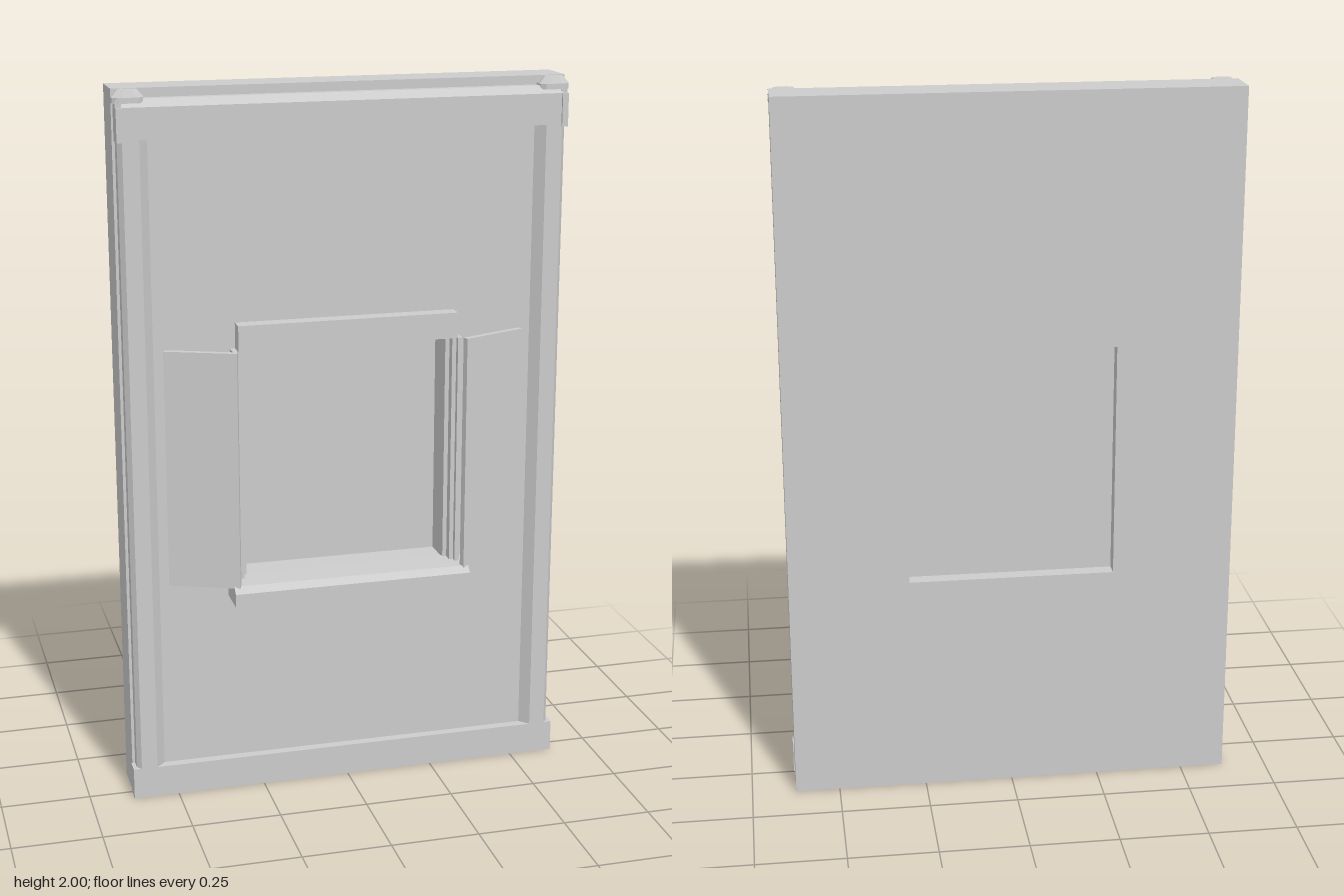
import * as THREE from 'three';

const plaster = new THREE.MeshStandardMaterial({ color: 0xcccccc });
plaster.name = 'plainGrey';

export function createModel() {
  const model = new THREE.Group();
  model.name = 'windowWallPanel';

  const add = (name, geometry) => {
    const mesh = new THREE.Mesh(geometry, plaster);
    mesh.name = name;
    model.add(mesh);
    return mesh;
  };
  // Box given by its limits on each axis
  const box = (name, x0, x1, y0, y1, z0, z1) => {
    const g = new THREE.BoxGeometry(x1 - x0, y1 - y0, z1 - z0);
    g.translate((x0 + x1) / 2, (y0 + y1) / 2, (z0 + z1) / 2);
    return add(name, g);
  };
  const shapeOf = (pts) => new THREE.Shape(pts.map(([a, b]) => new THREE.Vector2(a, b)));
  const extrude = (shape, depth) => new THREE.ExtrudeGeometry(shape, { depth, bevelEnabled: false });
  // Profile of [z, y] points run along x
  const alongX = (name, pts, halfWidth) => {
    const g = extrude(shapeOf(pts.map(([z, y]) => [-z, y])), 2 * halfWidth);
    g.rotateY(Math.PI / 2);
    g.translate(-halfWidth, 0, 0);
    return add(name, g);
  };
  // Profile of [x, z] points run upwards
  const upY = (name, pts, y0, y1) => {
    const g = extrude(shapeOf(pts.map(([x, z]) => [x, -z])), y1 - y0);
    g.rotateX(-Math.PI / 2);
    g.translate(0, y0, 0);
    return add(name, g);
  };
  // Slab with the window opening cut through it
  const slab = (name, hw, y0, y1, z0, z1, ow) => {
    const shape = shapeOf([[-hw, y0], [hw, y0], [hw, y1], [-hw, y1]]);
    shape.holes.push(shapeOf([[-ow, 0.635], [-ow, 1.3], [ow, 1.3], [ow, 0.635]]));
    const g = extrude(shape, z1 - z0);
    g.translate(0, 0, z0);
    return add(name, g);
  };

  // Wall, raised front layer and window pane
  slab('wall', 0.625, 0, 2, -0.12, 0, 0.288);
  slab('frontLayer', 0.6, 0.02, 1.96, 0, 0.018, 0.3);
  box('windowPane', -0.3, 0.3, 0.625, 1.31, -0.079, -0.073);

  // Outer frame: bottom rail and top beam with a sloping edge
  box('bottomRail', -0.628, 0.628, 0, 0.09, 0, 0.045);
  alongX('topBeam', [[0, 1.87], [0.045, 1.87], [0.045, 1.955], [0.025, 1.975], [0, 1.975]], 0.605);

  // Window head and sloped sill
  box('windowHead', -0.31, 0.31, 1.293, 1.365, 0.01, 0.062);
  alongX('windowSill', [[0.01, 0.58], [0.118, 0.58], [0.118, 0.618], [0.1, 0.635], [0.01, 0.638]], 0.34);

  for (const s of [-1, 1]) {
    const side = s > 0 ? 'left' : 'right';
    // Mirrored profile, reversed to keep its winding
    const m = (pts) => (s > 0 ? pts : pts.map(([x, z]) => [-x, z]).reverse());
    const span = (a, b) => (s > 0 ? [a, b] : [-b, -a]);

    // Frame post: chamfered outside, sloped inside
    upY(side + 'Post', m([[0.535, 0], [0.535, 0.018], [0.56, 0.045], [0.605, 0.045],
      [0.617, 0.03], [0.617, 0]]), 0.09, 1.87);
    // Corner block at the end of the top beam
    box(side + 'CornerBlock', ...span(0.603, 0.62), 1.955, 1.978, 0, 0.04);
    box(side + 'CornerBracket', ...span(0.603, 0.62), 1.865, 1.955, 0, 0.051);

    // Eight-sided corner cap tapering to the top
    const cap = new THREE.CylinderGeometry(0.6, 1, 1, 8, 1).toNonIndexed();
    cap.rotateY(Math.PI / 8);
    cap.scale(0.046, 0.02, 0.022);
    cap.translate(s * 0.585, 1.99, 0.02);
    cap.computeVertexNormals();
    add(side + 'CornerCap', cap);
    upY(side + 'CapBase', m([[0.545, 0], [0.545, 0.03], [0.558, 0.041], [0.613, 0.041],
      [0.626, 0.03], [0.626, 0]]), 1.965, 1.98);

    // Stepped window jamb
    upY(side + 'Jamb', m([[0.288, -0.07], [0.288, 0.02], [0.3, 0.02], [0.3, 0.045],
      [0.312, 0.045], [0.312, 0.06], [0.325, 0.06], [0.325, -0.07]]), 0.635, 1.293);
    // Open shutter, slanting back to the wall
    upY(side + 'Shutter', m([[0.318, 0.09], [0.324, 0.106], [0.51, 0.03], [0.504, 0.014]]), 0.63, 1.3);
  }
  return model;
}
